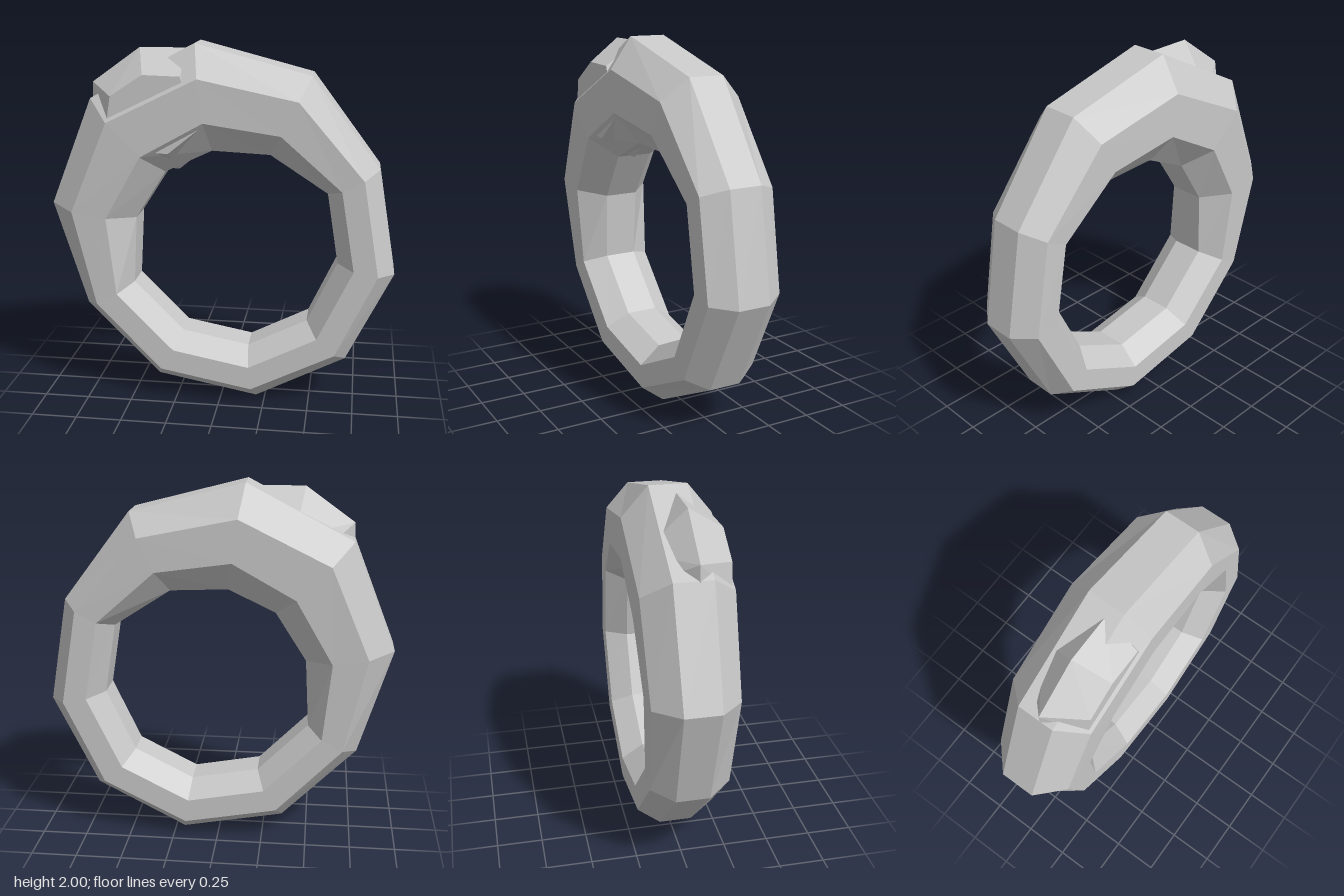
import * as THREE from 'three';
import { ConvexGeometry } from 'three/addons/geometries/ConvexGeometry.js';

// Ten stations clockwise from the top: outer rim, outer shoulder,
// inner shoulder, inner rim (x, y each), then half thickness
const STATIONS = [
  [-0.14, 2.0, -0.11, 1.83, -0.08, 1.6, -0.05, 1.43, 0.238],
  [0.48, 1.84, 0.42, 1.72, 0.33, 1.54, 0.265, 1.415, 0.23],
  [0.85, 1.35, 0.77, 1.31, 0.655, 1.25, 0.577, 1.21, 0.212],
  [0.95, 0.77, 0.86, 0.785, 0.73, 0.81, 0.64, 0.82, 0.21],
  [0.7, 0.26, 0.64, 0.32, 0.54, 0.41, 0.48, 0.476, 0.21],
  [0.2, 0.0, 0.18, 0.09, 0.165, 0.22, 0.153, 0.31, 0.21],
  [-0.36, 0.105, -0.33, 0.185, -0.26, 0.3, -0.22, 0.38, 0.21],
  [-0.77, 0.52, -0.69, 0.56, -0.575, 0.62, -0.497, 0.66, 0.212],
  [-0.95, 1.11, -0.81, 1.09, -0.62, 1.06, -0.476, 1.04, 0.225],
  [-0.715, 1.7, -0.6, 1.59, -0.42, 1.41, -0.307, 1.307, 0.238],
];

// Octagonal section of one station, front half then mirrored back half
function section(s) {
  const front = [0, 1, 2, 3].map((k) => {
    const z = s[8] * (k === 0 || k === 3 ? 0.425 : 1);
    return [s[2 * k], s[2 * k + 1], z];
  });
  const back = front.map(([x, y, z]) => [x, y, -z]).reverse();
  return [...front, ...back];
}

function ringGeometry() {
  const rings = STATIONS.map(section);
  const pos = [];
  for (let i = 0; i < rings.length; i++) {
    const p = rings[i], q = rings[(i + 1) % rings.length];
    for (let k = 0; k < 8; k++) {
      const n = (k + 1) % 8;
      pos.push(...p[k], ...p[n], ...q[n], ...p[k], ...q[n], ...q[k]);
    }
  }
  const g = new THREE.BufferGeometry();
  g.setAttribute('position', new THREE.Float32BufferAttribute(pos, 3));
  g.computeVertexNormals();
  return g;
}

// Faceted stone: three outlines stacked in depth
function stoneGeometry() {
  const layers = [
    [0.222, [[-0.575, 1.73], [-0.4, 1.845], [-0.2, 1.84], [-0.11, 1.56],
      [-0.27, 1.43], [-0.37, 1.435], [-0.6, 1.57]]],
    [0.03, [[-0.715, 1.78], [-0.45, 1.97], [-0.19, 1.97], [-0.08, 1.44],
      [-0.24, 1.31], [-0.31, 1.31], [-0.72, 1.68]]],
    [-0.19, [[-0.5, 1.62], [-0.4, 1.74], [-0.27, 1.74], [-0.2, 1.6], [-0.35, 1.5]]],
  ];
  const pts = layers.flatMap(([z, o]) => o.map(([x, y]) => new THREE.Vector3(x, y, z)));
  return new ConvexGeometry(pts);
}

export function createModel() {
  const group = new THREE.Group();
  const gray = new THREE.MeshStandardMaterial({ color: 0xc8c8c8, flatShading: true });
  gray.name = 'light gray';

  const band = new THREE.Mesh(ringGeometry(), gray);
  band.name = 'band';
  const stone = new THREE.Mesh(stoneGeometry(), gray);
  stone.name = 'stone';

  group.add(band, stone);
  return group;
}
